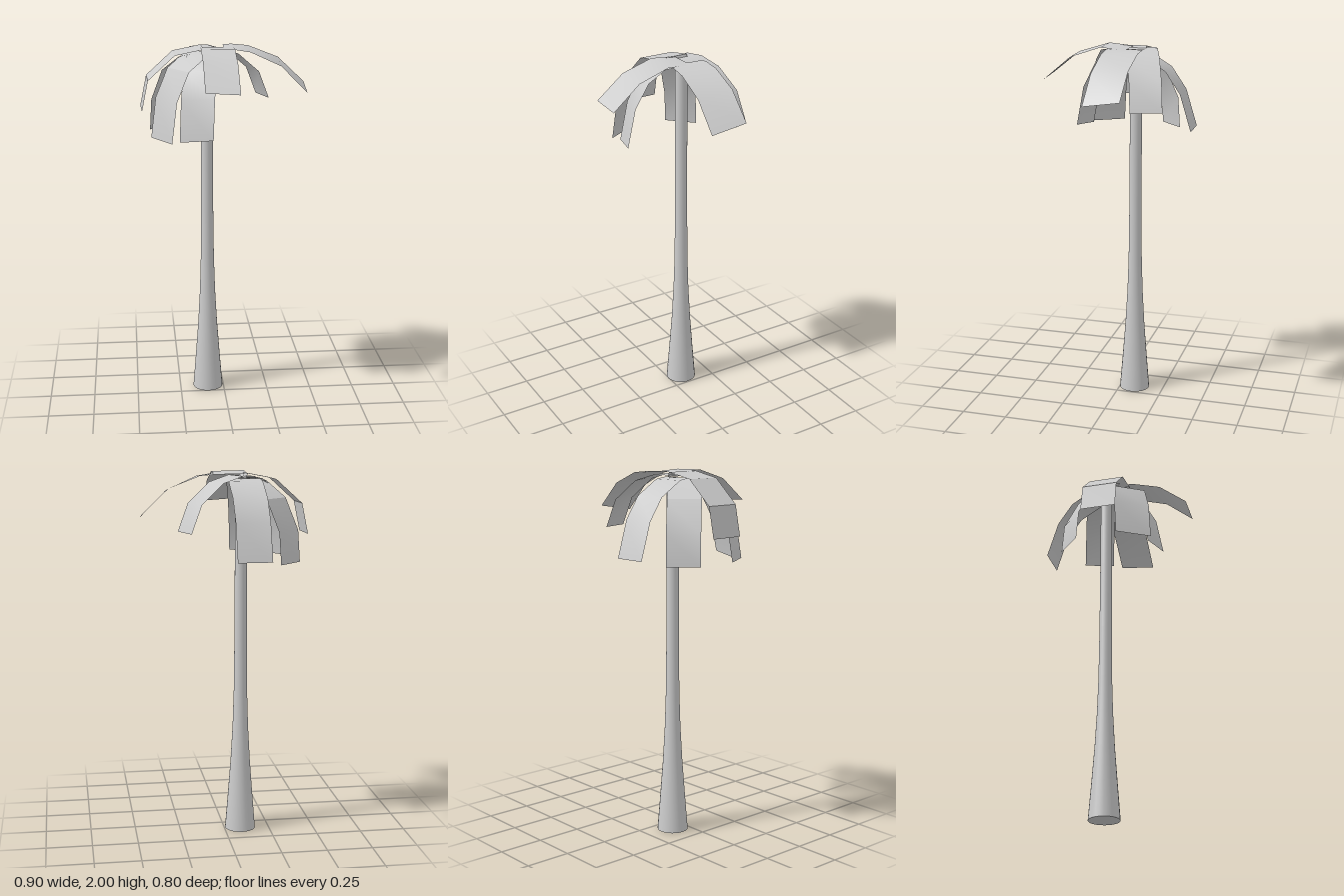
import * as THREE from 'three';
import { toCreasedNormals } from 'three/addons/utils/BufferGeometryUtils.js';

const bark = new THREE.MeshStandardMaterial({ color: 0xcccccc });
const leaf = new THREE.MeshStandardMaterial({ color: 0xcccccc, side: THREE.DoubleSide });

// A drooping strip: centre line runs from start to end (x, z) with a list of
// [fraction along, height] pairs; roll raises its +side edge towards the tip.
function frond(name, start, end, profile, width, roll = 0) {
  const dx = end[0] - start[0], dz = end[1] - start[1];
  const len = Math.hypot(dx, dz);
  const sx = -dz / len * width / 2, sz = dx / len * width / 2;
  const pos = [], index = [];
  profile.forEach(([t, y], i) => {
    const x = start[0] + dx * t, z = start[1] + dz * t, lift = roll * t;
    pos.push(x - sx, y - lift, z - sz, x + sx, y + lift, z + sz);
    if (i) {
      const a = 2 * i - 2;
      index.push(a, a + 1, a + 2, a + 1, a + 3, a + 2);
    }
  });
  const g = new THREE.BufferGeometry();
  g.setAttribute('position', new THREE.Float32BufferAttribute(pos, 3));
  g.setIndex(index);
  const mesh = new THREE.Mesh(toCreasedNormals(g, 0.5), leaf);
  mesh.name = name;
  return mesh;
}

export function createModel() {
  const tree = new THREE.Group();
  tree.name = 'palmTree';

  // Trunk flaring towards the ground, closed at both ends
  const outline = [[0.085, 0], [0.069, 0.2], [0.054, 0.4], [0.043, 0.6], [0.037, 0.8],
    [0.034, 1.1], [0.033, 1.5], [0.033, 1.93]].map(p => new THREE.Vector2(...p));
  const trunk = new THREE.Group();
  trunk.name = 'trunk';
  trunk.add(new THREE.Mesh(new THREE.LatheGeometry(outline, 24), bark));
  [[0.085, 0, Math.PI / 2], [0.033, 1.93, -Math.PI / 2]].forEach(([r, y, tilt]) => {
    const cap = new THREE.Mesh(new THREE.CircleGeometry(r, 24), bark);
    cap.rotation.x = tilt;
    cap.position.y = y;
    trunk.add(cap);
  });
  trunk.children.forEach((m, i) => { m.name = ['trunkSide', 'trunkBase', 'trunkTop'][i]; });
  trunk.position.set(-0.09, 0, -0.082);
  tree.add(trunk);

  // Crown of eight fronds
  tree.add(
    frond('leftFrond', [-0.0, -0.055], [0.445, -0.04],
      [[0, 1.985], [0.1, 1.987], [0.31, 1.975], [0.68, 1.905], [1, 1.765]], 0.2, -0.015),
    frond('frontFrond', [-0.04, -0.06], [-0.04, 0.4],
      [[0, 1.985], [0.3, 1.995], [0.67, 1.94], [1, 1.815]], 0.18, 0.006),
    frond('rightFrond', [-0.105, -0.035], [-0.447, -0.025],
      [[0, 1.965], [0.03, 1.99], [0.48, 1.96], [0.9, 1.83], [1, 1.665]], 0.195),
    frond('backFrond', [-0.105, -0.06], [-0.115, -0.4],
      [[0, 1.96], [0.2, 1.95], [0.58, 1.87], [0.82, 1.75], [1, 1.55]], 0.185),
    frond('backLeftFrond', [-0.15, -0.09], [0.23, -0.22],
      [[0, 1.975], [0.25, 1.98], [0.54, 1.945], [0.85, 1.84], [1, 1.69]], 0.17),
    frond('backRightFrond', [-0.14, -0.03], [-0.335, -0.225],
      [[0, 1.96], [0.2, 1.945], [0.65, 1.86], [0.95, 1.69], [1, 1.52]], 0.18),
    frond('frontRightFrond', [-0.11, 0.005], [-0.345, 0.15],
      [[0, 1.97], [0.2, 1.96], [0.6, 1.89], [0.88, 1.74], [1, 1.525]], 0.2),
    frond('frontInnerFrond', [-0.1, -0.02], [-0.165, 0.23],
      [[0, 1.965], [0.2, 1.955], [0.55, 1.885], [0.83, 1.75], [1, 1.535]], 0.18, -0.008)
  );
  return tree;
}
